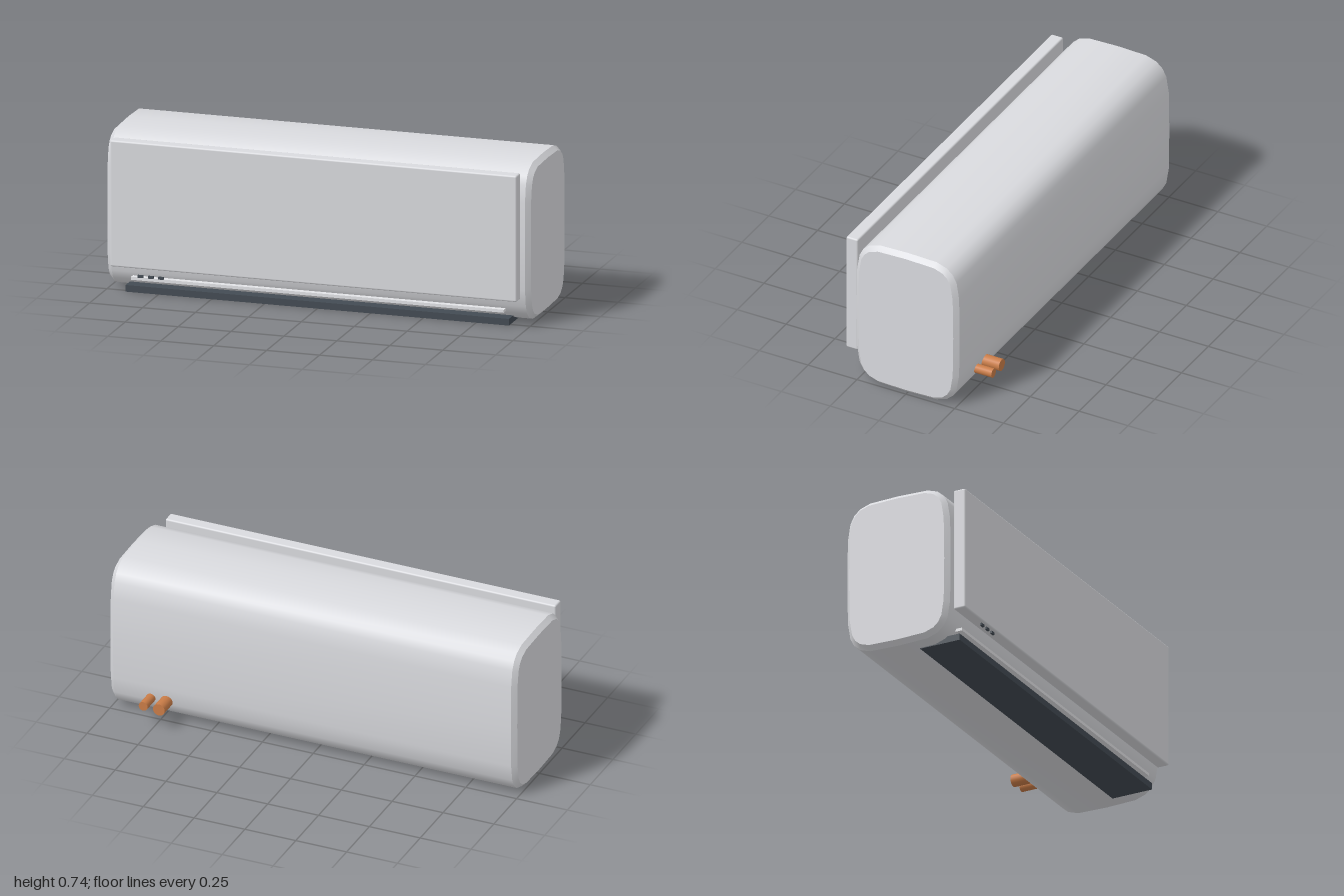
import * as THREE from 'three';
import { toCreasedNormals } from 'three/addons/utils/BufferGeometryUtils.js';
import { RoundedBoxGeometry } from 'three/addons/geometries/RoundedBoxGeometry.js';

const mat = (name, color) => {
  const m = new THREE.MeshStandardMaterial({ color });
  m.name = name;
  return m;
};

export function createModel() {
  const group = new THREE.Group();
  const shell = mat('shell grey white', 0xd9dade);
  const trim = mat('trim pale grey', 0xe2e3e6);
  const dark = mat('dark slate', 0x434b53);
  const copper = mat('copper', 0xc97c47);

  const add = (name, geometry, material, x, y, z) => {
    const mesh = new THREE.Mesh(geometry, material);
    mesh.name = name;
    mesh.position.set(x, y, z);
    group.add(mesh);
    return mesh;
  };

  // Housing: one quarter of the end cap outline, mirrored twice, extruded with a chamfer
  const quarter = [[0.243, 0], [0.24, 0.202], [0.228, 0.277], [0.212, 0.308],
    [0.187, 0.33], [0.142, 0.345], [0, 0.349]];
  const half = [...quarter, ...quarter.slice(0, -1).reverse().map(([a, b]) => [-a, b])];
  const outline = [...half, ...half.slice(1, -1).reverse().map(([a, b]) => [a, -b])];
  const shape = new THREE.Shape(outline.map(([a, b]) => new THREE.Vector2(a, b)));
  const body = new THREE.ExtrudeGeometry(shape, {
    depth: 1.956, bevelEnabled: true, bevelSegments: 1, bevelSize: 0.021, bevelThickness: 0.022,
  });
  body.translate(0, 0, -0.978);
  body.rotateY(Math.PI / 2);
  add('housing', toCreasedNormals(body, 0.6), shell, 0, 0.371, 0);

  // Front panel standing just off the housing
  add('frontPanel', new RoundedBoxGeometry(1.92, 0.588, 0.06, 2, 0.008), shell, 0, 0.422, 0.298);

  // Air outlet and the thin louvre above it
  add('airOutlet', new THREE.BoxGeometry(1.81, 0.031, 0.202), dark, 0, 0.0155, 0.169);
  add('louvre', new THREE.BoxGeometry(1.76, 0.014, 0.06), trim, 0, 0.064, 0.238);

  // Indicator lights
  for (const x of [-0.813, -0.765, -0.717]) {
    add('indicator', new THREE.BoxGeometry(0.025, 0.012, 0.009), dark, x, 0.096, 0.3345);
  }

  // Pipes at the back
  for (const [x, r] of [[0.72, 0.029], [0.797, 0.022]]) {
    const pipe = new THREE.CylinderGeometry(r, r, 0.138, 16);
    pipe.rotateX(Math.PI / 2);
    add('pipe', pipe, copper, x, 0.102, -0.269);
  }
  return group;
}
